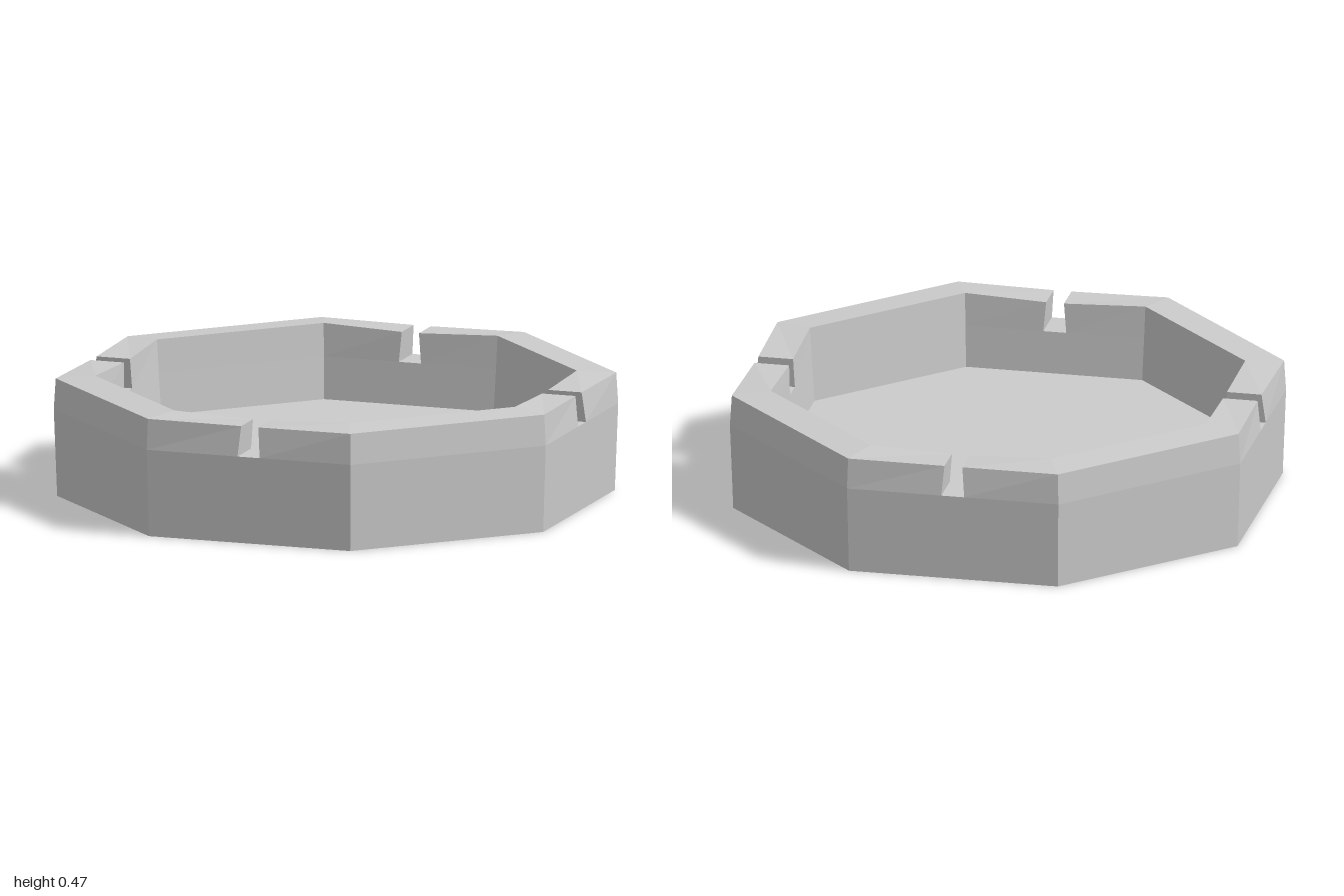
import * as THREE from 'three';

const T = Math.tan(Math.PI / 8);
const LEDGE = 0.34; // height of the notch floors

const material = new THREE.MeshStandardMaterial({ color: 0xcccccc, flatShading: true });

function addMesh(parent, geometry, name) {
  const mesh = new THREE.Mesh(geometry, material);
  mesh.name = name;
  parent.add(mesh);
  return mesh;
}

// Octagonal surface with flats on the axes; profile is [apothem, y]
function octagon(profile) {
  const points = profile.map(([a, y]) => new THREE.Vector2(a / Math.cos(Math.PI / 8), y));
  return new THREE.LatheGeometry(points, 8, Math.PI / 8);
}

// One quarter of the rim, from the front notch round to the left notch
function rimGeometry() {
  // Sections run outer bottom, outer top, inner top, inner bottom: [apothem, y, notch half width]
  const atNotch = [[1, LEDGE, 0.045], [0.986, 0.457, 0.035], [0.85, 0.457, 0.035], [0.845, LEDGE, 0.045]];
  const atCorner = [[1, LEDGE], [0.993, 0.46], [0.853, 0.469], [0.845, LEDGE]];
  const sections = [
    atNotch.map(([a, y, w]) => [w, y, a]),
    atCorner.map(([a, y]) => [a * T, y, a]),
    atCorner.map(([a, y]) => [a, y, a * T]),
    atNotch.map(([a, y, w]) => [a, y, w]),
  ];
  const index = [0, 1, 2, 0, 2, 3];
  for (let i = 0; i < 3; i++) {
    for (let j = 0; j < 3; j++) {
      const a = i * 4 + j, b = a + 4;
      index.push(a, b, b + 1, a, b + 1, a + 1);
    }
  }
  index.push(12, 14, 13, 12, 15, 14);
  const geometry = new THREE.BufferGeometry();
  geometry.setAttribute('position', new THREE.Float32BufferAttribute(sections.flat(2), 3));
  geometry.setIndex(index);
  geometry.computeVertexNormals();
  return geometry;
}

export function createModel() {
  const tray = new THREE.Group();
  tray.name = 'octagonalTray';

  // Base with outer wall, and the recessed bowl
  addMesh(tray, octagon([[0, 0], [0.988, 0], [1, LEDGE]]), 'outerWall');
  addMesh(tray, octagon([[0.845, LEDGE], [0.833, 0.175], [0, 0.175]]), 'bowl');

  // Four raised rim pieces separated by dovetail notches
  const rim = rimGeometry();
  const notch = new THREE.PlaneGeometry(0.09, 0.155).rotateX(-Math.PI / 2).translate(0, LEDGE, 0.9225);
  for (let i = 0; i < 4; i++) {
    const angle = i * Math.PI / 2;
    addMesh(tray, rim, 'rimSegment').rotation.y = angle;
    addMesh(tray, notch, 'notchFloor').rotation.y = angle;
  }
  return tray;
}
